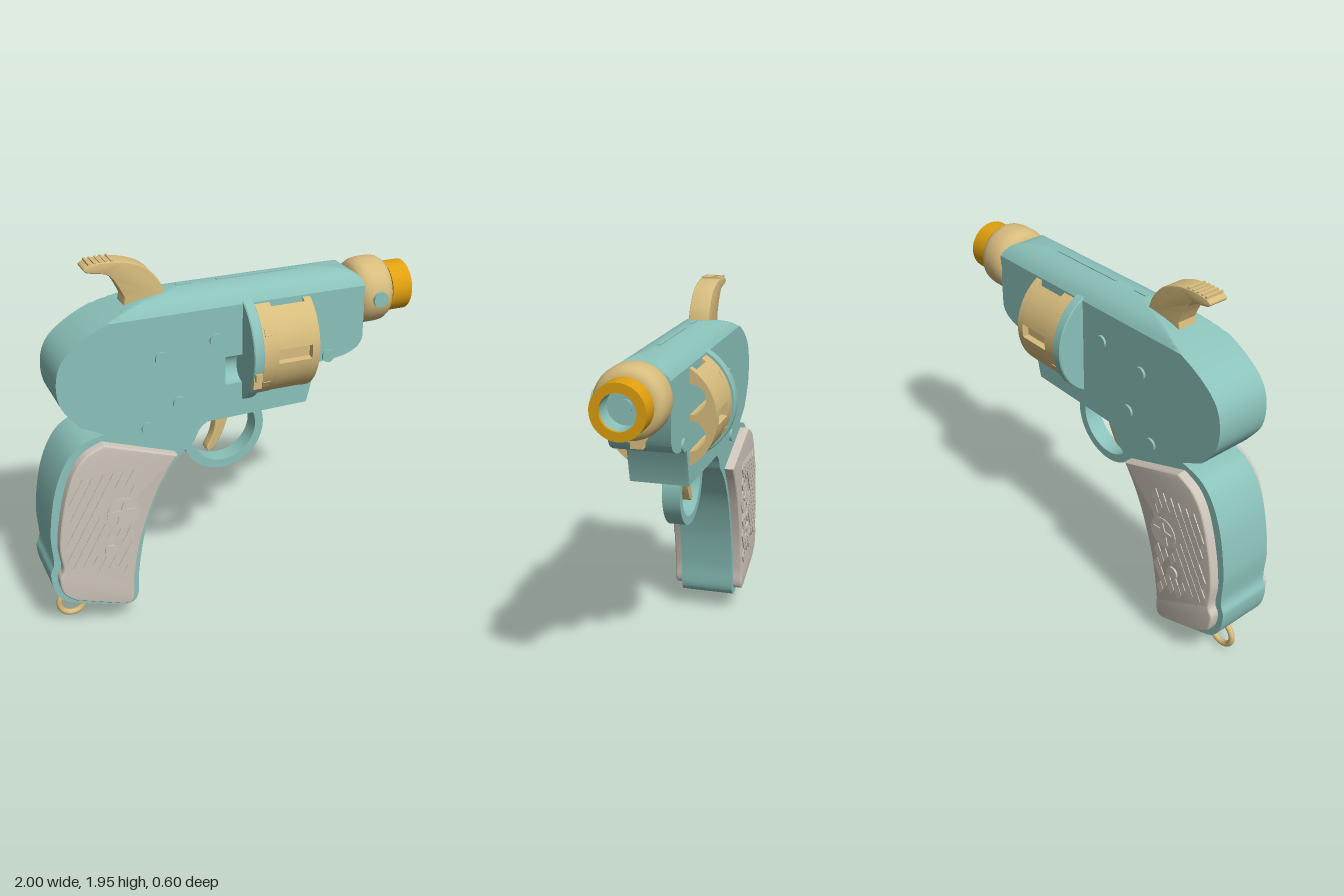
import * as THREE from 'three';
import { mergeGeometries, toCreasedNormals } from 'three/addons/utils/BufferGeometryUtils.js';

const mat = (name, color, side = THREE.FrontSide) => {
  const m = new THREE.MeshStandardMaterial({ color, side });
  m.name = name;
  return m;
};
const V = (pts) => pts.map(([x, y]) => new THREE.Vector2(x, y));

export function createModel() {
  const group = new THREE.Group();
  const teal = mat('teal', 0x8ac1b9, THREE.DoubleSide);
  const tan = mat('tan', 0xd7bc7d);
  const orange = mat('orange', 0xe0a00f);
  const ivory = mat('ivory', 0xcdc4b9);

  const add = (name, geo, material, x = 0, y = 0, z = 0) => {
    const mesh = new THREE.Mesh(geo, material);
    mesh.name = name;
    mesh.position.set(x, y, z);
    group.add(mesh);
    return mesh;
  };
  // Extrusion centred on z = 0
  const slab = (shape, half, bevel = 0, steps = 1) => {
    const geo = new THREE.ExtrudeGeometry(shape, {
      depth: 2 * (half - bevel), steps, curveSegments: 12, bevelEnabled: bevel > 0,
      bevelThickness: bevel, bevelSize: bevel, bevelOffset: -bevel, bevelSegments: 3,
    });
    return geo.translate(0, 0, bevel - half);
  };
  const smooth = (geo, angle = 0.5) => toCreasedNormals(geo, angle);
  // Pin running through the model along z
  const pin = (r, half, x, y) =>
    new THREE.CylinderGeometry(r, r, 2 * half, 24).rotateX(Math.PI / 2).translate(x, y, 0);
  // Solid of revolution about the x axis; profile is [x, radius]
  const turned = (profile) => smooth(
    new THREE.LatheGeometry(V(profile.map(([x, r]) => [r, x])), 48).rotateZ(-Math.PI / 2), 0.6);

  // Frame: body and grip in one outline, the top rounded across
  const frame = new THREE.Shape();
  frame.moveTo(0.71, 1.4);
  frame.lineTo(0.71, 1.67);
  frame.splineThru(V([[0.7, 1.715], [0.64, 1.755], [0.5, 1.772]]));
  frame.lineTo(-0.25, 1.772);
  frame.splineThru(V([[-0.45, 1.745], [-0.6, 1.7], [-0.75, 1.63], [-0.86, 1.54], [-0.9, 1.43],
    [-0.885, 1.3], [-0.8, 1.18]]));
  frame.lineTo(-0.68, 1.12);
  frame.splineThru(V([[-0.8, 1.085], [-0.885, 1.0], [-0.95, 0.84], [-0.985, 0.62], [-0.98, 0.45],
    [-1, 0.38], [-0.985, 0.28], [-0.94, 0.21], [-0.86, 0.17]]));
  frame.lineTo(-0.64, 0.1);
  frame.splineThru(V([[-0.58, 0.1], [-0.545, 0.15], [-0.535, 0.3], [-0.495, 0.52], [-0.42, 0.74],
    [-0.32, 0.9], [-0.22, 0.99]]));
  frame.splineThru(V([[-0.19, 1.05], [-0.15, 1.085]]));
  frame.lineTo(0.4, 1.095);
  frame.lineTo(0.445, 1.28);
  frame.splineThru(V([[0.47, 1.305], [0.6, 1.32], [0.68, 1.355], [0.71, 1.4]]));
  const gate = new THREE.Path(V([[-0.05, 1.27], [0.05, 1.27], [0.05, 1.42], [-0.05, 1.42]]));
  frame.holes.push(gate);
  const frameGeo = slab(frame, 0.15, 0, 24);
  const p = frameGeo.attributes.position;
  for (let i = 0; i < p.count; i++) {
    const z = p.getZ(i);
    p.setY(i, Math.min(p.getY(i), 1.6 + Math.sqrt(0.172 ** 2 - z * z)));
  }
  add('frame', smooth(frameGeo), teal);

  // Loading gate: scooped recess on one side, closed behind
  add('gateScoop', new THREE.CylinderGeometry(0.075, 0.075, 0.1, 16, 1, true, Math.PI / 2, Math.PI)
    .rotateZ(Math.PI / 2), teal, 0, 1.345, 0.15);
  add('gateBacking', new THREE.BoxGeometry(0.1, 0.15, 0.2), teal, 0, 1.345, -0.05);
  add('gateLatch', new THREE.BoxGeometry(0.045, 0.13, 0.1), tan, 0.065, 1.35, 0.235);
  add('gateLatchKnob', new THREE.BoxGeometry(0.035, 0.04, 0.02), tan, 0.065, 1.35, 0.294);

  // Sight ribs along the top
  add('sightRib', new THREE.BoxGeometry(0.44, 0.008, 0.02), teal, 0.18, 1.772, 0);
  add('rearSightRib', new THREE.BoxGeometry(0.08, 0.008, 0.02), teal, -0.21, 1.772, 0);

  // Frame screws
  const screws = [[-0.38, 1.47], [-0.1, 1.52], [-0.295, 1.22], [-0.46, 1.11], [0.515, 1.335]];
  add('frameScrews', mergeGeometries(screws.map(([x, y]) => pin(0.034, 0.162, x, y))), teal);

  // Grip panels on both sides
  const panel = new THREE.Shape();
  panel.moveTo(-0.7, 1.088);
  panel.splineThru(V([[-0.8, 1.04], [-0.87, 0.94], [-0.925, 0.76], [-0.955, 0.56], [-0.945, 0.43],
    [-0.967, 0.37], [-0.95, 0.28], [-0.89, 0.225]]));
  panel.lineTo(-0.64, 0.135);
  panel.splineThru(V([[-0.6, 0.135], [-0.58, 0.17], [-0.575, 0.28], [-0.535, 0.5], [-0.46, 0.72],
    [-0.39, 0.86], [-0.325, 0.955]]));
  panel.closePath();
  add('gripPanels', smooth(slab(panel, 0.2, 0.012)), ivory);

  // Raised diamond chequering, left clear around the medallion and grip screw
  const diamonds = [];
  const w = 0.023, h = 0.042;
  for (let row = 0; row < 15; row++) {
    for (let col = 0; col < 9; col++) {
      const y = 0.29 + row * 0.046;
      const x = -0.95 + (col + (row % 2) * 0.5) * 0.052;
      const left = -0.925 + Math.max(0, y - 0.6) * 0.12, right = -0.585 + (y - 0.3) * 0.13;
      const low = 0.33 - (x + 0.62) * 0.35;
      if (x < left + w || x > right - w || y < low || y > 0.92) continue;
      if (Math.hypot(x + 0.62, y - 0.69) < 0.115 || Math.hypot(x + 0.695, y - 0.485) < 0.06) continue;
      diamonds.push(slab(new THREE.Shape(V([[x - w, y], [x, y - h], [x + w, y], [x, y + h]])), 0.206));
    }
  }
  add('gripChequering', mergeGeometries(diamonds), ivory);
  add('gripMedallion', pin(0.086, 0.205, -0.62, 0.69), ivory);
  const star = [];
  for (let i = 0; i < 10; i++) {
    const a = Math.PI / 2 + i * Math.PI / 5, r = i % 2 ? 0.028 : 0.066;
    star.push([-0.62 + r * Math.cos(a), 0.69 + r * Math.sin(a)]);
  }
  add('medallionStar', slab(new THREE.Shape(V(star)), 0.211), ivory);
  add('gripScrew', pin(0.034, 0.21, -0.695, 0.485), ivory);

  // Hammer with thumb ridges
  const hammer = new THREE.Shape();
  hammer.moveTo(-0.54, 1.66);
  hammer.lineTo(-0.52, 1.76);
  hammer.splineThru(V([[-0.555, 1.83], [-0.6, 1.885], [-0.69, 1.905], [-0.708, 1.925], [-0.68, 1.942]]));
  hammer.splineThru(V([[-0.6, 1.948], [-0.5, 1.935], [-0.41, 1.895], [-0.345, 1.82], [-0.315, 1.74]]));
  hammer.lineTo(-0.31, 1.66);
  add('hammer', smooth(slab(hammer, 0.054, 0.006)), tan);
  for (let i = 0; i < 5; i++) {
    add('hammerRidge', new THREE.BoxGeometry(0.012, 0.014, 0.1), tan, -0.68 + i * 0.027, 1.943 + i * 0.001, 0);
  }

  // Trigger and its round guard
  const trigger = new THREE.Shape();
  trigger.moveTo(-0.06, 1.12);
  trigger.splineThru(V([[-0.055, 1.03], [-0.07, 0.94], [-0.105, 0.865], [-0.09, 0.845], [-0.06, 0.86]]));
  trigger.splineThru(V([[-0.02, 0.93], [0.01, 1.01], [0.025, 1.12]]));
  add('trigger', smooth(slab(trigger, 0.03, 0.008)), tan);
  const guard = new THREE.Shape().absarc(0, 0, 0.225, 0, Math.PI * 2);
  guard.holes.push(new THREE.Path().absarc(0, 0, 0.18, 0, Math.PI * 2));
  const guardGeo = new THREE.ExtrudeGeometry(guard, { depth: 0.094, curveSegments: 40, bevelEnabled: false });
  add('triggerGuard', smooth(guardGeo), teal, -0.02, 0.97, -0.047);

  // Revolving cylinder: round ends, fluted middle, six chambers
  const drumSlice = (x0, x1, fluted) => {
    const pts = [];
    for (let k = 0; k < 6; k++) {
      const a = k * Math.PI / 3, b = 0.13;
      const at = (t, r) => pts.push([r * Math.cos(t), r * Math.sin(t)]);
      if (fluted) { at(a - b, 0.25); at(a + b, 0.25); } else at(a, 0.283);
      for (let j = 0; j <= 8; j++) at(a + b + j * (Math.PI / 3 - 2 * b) / 8, 0.283);
    }
    const shape = new THREE.Shape(V(pts));
    for (let k = 0; k < 6; k++) {
      const a = (k + 0.5) * Math.PI / 3;
      shape.holes.push(new THREE.Path().absarc(0.178 * Math.cos(a), 0.178 * Math.sin(a), 0.075, 0, Math.PI * 2));
    }
    const geo = new THREE.ExtrudeGeometry(shape, { depth: x1 - x0, curveSegments: 12, bevelEnabled: false });
    return smooth(geo.rotateY(Math.PI / 2).translate(x0, 0, 0));
  };
  const drum = mergeGeometries([drumSlice(0.09, 0.18, false), drumSlice(0.18, 0.36, true), drumSlice(0.36, 0.4, false)]);
  add('revolvingCylinder', drum, tan, 0, 1.435, 0);
  // Small locking lugs around the rear of the cylinder
  for (let k = 0; k < 6; k++) {
    const lug = add('cylinderLug', new THREE.BoxGeometry(0.04, 0.04, 0.012).translate(0, 0, 0.28), tan, 0.13, 1.435, 0);
    lug.rotation.x = (k + 0.55) * Math.PI / 3;
  }
  add('recoilShield', turned([[0.04, 0], [0.04, 0.295], [0.045, 0.3], [0.09, 0.3], [0.095, 0.295], [0.095, 0]]),
    teal, 0, 1.435, 0);

  // Muzzle collar, tip and bore
  add('muzzleCollar', turned([[0.69, 0], [0.69, 0.13], [0.705, 0.152], [0.73, 0.166], [0.76, 0.171], [0.82, 0.171],
    [0.85, 0.166], [0.872, 0.152], [0.882, 0.13], [0.882, 0]]), tan, 0, 1.605, 0);
  add('muzzleTip', turned([[0.87, 0.12], [0.89, 0.12], [0.89, 0.129], [1, 0.129], [1, 0.085], [0.985, 0.085]]),
    orange, 0, 1.605, 0);
  add('bore', turned([[0.995, 0.085], [0.89, 0.085], [0.89, 0.032], [0.9, 0.032], [0.9, 0]]), teal, 0, 1.605, 0);
  add('collarBolt', new THREE.CylinderGeometry(0.04, 0.04, 0.06, 24).rotateX(Math.PI / 2), teal, 0.79, 1.605, 0.152);

  // Ribbed nub under the collar
  add('collarNub', turned([[0.7, 0], [0.7, 0.06], [0.75, 0.06], [0.75, 0]]), tan, 0, 1.45, 0);
  add('collarNubTip', new THREE.BoxGeometry(0.04, 0.05, 0.06), tan, 0.73, 1.397, 0);

  // Lanyard ring at the butt
  add('lanyardRing', new THREE.TorusGeometry(0.07, 0.016, 12, 40), tan, -0.868, 0.086, 0);
  add('lanyardLoop', new THREE.CylinderGeometry(0.022, 0.028, 0.05, 16), tan, -0.835, 0.165, 0);

  return group;
}
